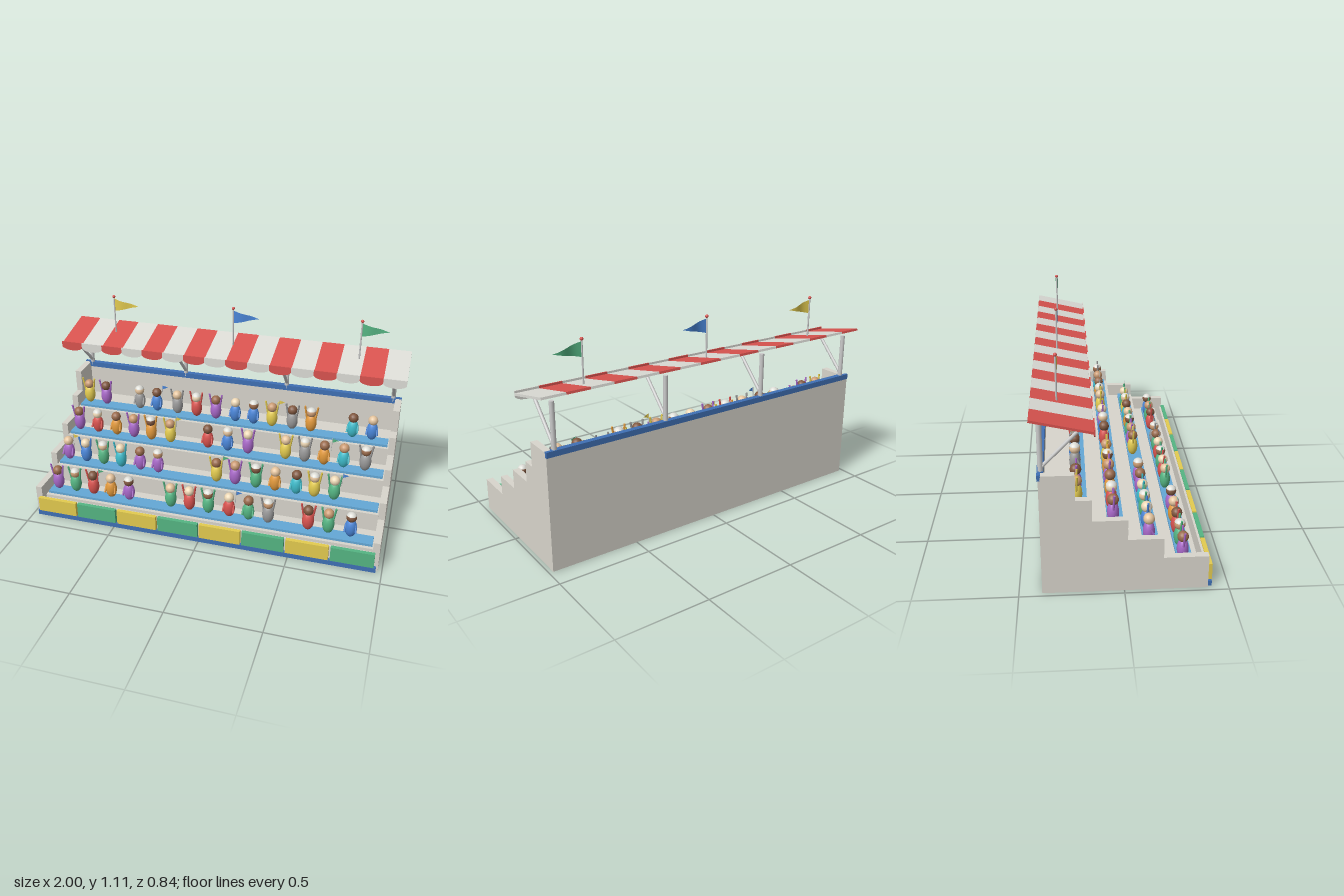
import * as THREE from 'three';

const C = {
  wall: 0xd8d5cc, metal: 0xcccccc, bench: 0x64a8d6, rail: 0x3f70b5, red: 0xd9534f, white: 0xdcdcd6,
  yellow: 0xe3cb4f, green: 0x55b583, blue: 0x4a86d8, purple: 0xa868c8, orange: 0xe39a3c, cyan: 0x3fbccb, grey: 0x9a9a9a,
};
const mats = {};
function mat(color, double = false) {
  const key = color + (double ? 'd' : '');
  return mats[key] ??= new THREE.MeshStandardMaterial({ color, side: double ? THREE.DoubleSide : THREE.FrontSide });
}
function add(parent, name, geo, color, x = 0, y = 0, z = 0, double = false) {
  const m = new THREE.Mesh(geo, mat(color, double));
  m.name = name;
  m.position.set(x, y, z);
  parent.add(m);
  return m;
}
// Box given by its limits on each axis
function box(parent, name, color, x0, x1, y0, y1, z0, z1) {
  return add(parent, name, new THREE.BoxGeometry(x1 - x0, y1 - y0, z1 - z0), color,
    (x0 + x1) / 2, (y0 + y1) / 2, (z0 + z1) / 2);
}
// Round bar between two points
function bar(parent, name, color, a, b, r, sides = 10) {
  const p = new THREE.Vector3(...a), q = new THREE.Vector3(...b);
  const m = add(parent, name, new THREE.CylinderGeometry(r, r, p.distanceTo(q), sides), color);
  m.position.copy(p).lerp(q, 0.5);
  m.quaternion.setFromUnitVectors(new THREE.Vector3(0, 1, 0), q.sub(p).normalize());
  return m;
}
// Extrude a (z, y) outline along x, from x0 to x1
function profile(parent, name, color, pts, x0, x1) {
  const shape = new THREE.Shape(pts.map(p => new THREE.Vector2(...p)));
  const geo = new THREE.ExtrudeGeometry(shape, { depth: x1 - x0, bevelEnabled: false });
  geo.rotateY(-Math.PI / 2);
  return add(parent, name, geo, color, x1, 0, 0);
}
// Gently waving triangular flag, pole at x = 0
function pennant(w, h, wave) {
  const geo = new THREE.PlaneGeometry(w, h, 8, 1).translate(w / 2, 0, 0);
  const p = geo.attributes.position;
  for (let i = 0; i < p.count; i++) {
    const t = p.getX(i) / w;
    p.setY(i, p.getY(i) * (1 - t * 0.99));
    p.setZ(i, Math.sin(t * Math.PI * 2) * wave);
  }
  geo.computeVertexNormals();
  return geo;
}

const BODY = new THREE.SphereGeometry(1, 14, 10).scale(0.033, 0.056, 0.029);
const HEAD = new THREE.SphereGeometry(0.028, 14, 10);
const CAP = new THREE.SphereGeometry(0.0295, 14, 5, 0, Math.PI * 2, 0, Math.PI * 0.36);
const SKINS = [0x9a6b4c, 0xe3c39d, 0xc99a72, 0xecd6b4, 0x80573f];

// One seated fan; the number n varies skin, pose, cap and hand flag
function spectator(color, n) {
  const g = new THREE.Group();
  g.name = 'spectator';
  const skin = SKINS[(n * 7 + (n >> 2)) % 5];
  add(g, 'body', BODY, color, 0, 0.056, 0);
  add(g, 'head', HEAD, skin, 0, 0.122, 0);
  if (n % 3 === 1) add(g, 'cap', CAP, C.white, 0, 0.123, 0, true);
  const raised = n % 5 < 3;
  for (const s of [-1, 1]) {
    if (raised) bar(g, 'raisedArm', color, [s * 0.024, 0.075, 0], [s * 0.038, 0.16, 0.004], 0.0055, 7);
    else bar(g, 'loweredArm', color, [s * 0.026, 0.082, 0.005], [s * 0.03, 0.04, 0.026], 0.0055, 7);
  }
  if (n % 6 === 2) {
    bar(g, 'handFlagStick', C.metal, [0.038, 0.1, 0.01], [0.042, 0.18, 0.01], 0.002, 6);
    add(g, 'handFlag', pennant(0.034, 0.026, 0.002), [C.green, C.yellow, C.blue][n % 9 / 3 | 0], 0.042, 0.167, 0.01, true);
  }
  return g;
}

export function createModel() {
  const root = new THREE.Group();
  root.name = 'grandstand';

  // Stepped seating, stepped side walls and back wall
  const front = [0.355, 0.19, 0.02, -0.15], top = [0.1, 0.205, 0.315, 0.42];
  const steps = [[-0.376, 0]];
  front.forEach((z, i) => steps.push([z, i ? top[i - 1] : 0], [z, top[i]]));
  steps.push([-0.376, 0.42]);
  profile(root, 'tiers', C.wall, steps, -0.942, 0.942);
  const side = [[-0.38, 0], [0.4, 0], [0.4, 0.175], [0.185, 0.175], [0.185, 0.28], [0.015, 0.28], [0.015, 0.385],
    [-0.15, 0.385], [-0.15, 0.495], [-0.225, 0.495], [-0.225, 0.625], [-0.38, 0.625]];
  for (const s of [-1, 1]) profile(root, 'sideWall', C.wall, side, s * 0.96 - 0.018, s * 0.96 + 0.018);
  box(root, 'backWall', C.wall, -0.978, 0.978, 0, 0.62, -0.39, -0.374);
  box(root, 'topRail', C.rail, -0.945, 0.945, 0.6, 0.63, -0.395, -0.366);
  box(root, 'backRail', C.rail, -0.978, 0.978, 0.6, 0.63, -0.395, -0.378);
  box(root, 'frontFloor', C.wall, -0.942, 0.942, 0, 0.01, 0.35, 0.4);
  box(root, 'frontWall', C.wall, -0.942, 0.942, 0, 0.108, 0.388, 0.4);

  // Front plinth and coloured boards
  box(root, 'plinth', C.rail, -0.968, 0.968, 0, 0.028, 0.4, 0.42);
  for (let i = 0; i < 8; i++) {
    const x = -0.957 + i * 0.2405;
    box(root, 'frontBoard', i % 2 ? C.green : C.yellow, x, x + 0.23, 0.03, 0.115, 0.4, 0.422);
  }

  // Benches and their occupants: x position in hundredths, colour initial
  const initials = { y: 'yellow', p: 'purple', g: 'green', r: 'red', o: 'orange', c: 'cyan', b: 'blue', k: 'grey' };
  const rows = [
    '-89p -78g -67r -56o -45p -20g -9r 2g 14r 25g 36k 58r 69g 81b',
    '-89p -78b -67g -56c -44p -33p 2y 13p 25g 36o 48c 58y 69g',
    '-89p -77r -65o -54p -43o -31y -8r 4b 16p 38y 49k 60o 71c 83k',
    '-89y -78p -56k -45b -32k -20r -8p 4b 15b 26y 38k 49o 73c 84b',
  ];
  let n = 0;
  rows.forEach((row, i) => {
    const z = front[i] - 0.0575;
    box(root, 'bench', C.bench, -0.935, 0.935, top[i], top[i] + 0.014, z - 0.038, z + 0.038);
    for (const entry of row.split(' ')) {
      const fan = spectator(C[initials[entry.at(-1)]], n++);
      fan.position.set(parseInt(entry) / 100, top[i] + 0.01, z - 0.012);
      root.add(fan);
    }
  });

  // Canopy posts and struts
  for (const x of [-0.93, -0.315, 0.31, 0.93]) {
    bar(root, 'canopyPost', C.metal, [x, 0.61, -0.378], [x, 0.868, -0.378], 0.0125, 12);
    bar(root, 'canopyStrut', C.metal, [x, 0.65, -0.372], [x, 0.842, -0.185], 0.009, 10);
  }

  // Striped canopy with a scalloped valance
  const stripe = 0.125;
  const scallop = new THREE.Shape();
  scallop.moveTo(-stripe / 2, 0.015);
  scallop.lineTo(-stripe / 2, -0.012);
  scallop.absellipse(0, -0.012, stripe / 2, 0.024, Math.PI, Math.PI * 2, false, 0);
  scallop.lineTo(stripe / 2, 0.015);
  const valance = new THREE.ExtrudeGeometry(scallop, { depth: 0.006, bevelEnabled: false, curveSegments: 12 });
  const slab = new THREE.BoxGeometry(stripe, 0.012, 0.293);
  for (let i = 0; i < 16; i++) {
    const x = -1 + stripe * (i + 0.5), color = i % 2 ? C.white : C.red;
    add(root, 'canopyStripe', slab, color, x, 0.871, -0.2775).rotation.x = 0.222;
    add(root, 'valanceScallop', valance, color, x, 0.842, -0.138);
  }

  // Flagpoles on the canopy
  [C.yellow, C.blue, C.green].forEach((color, i) => {
    const x = (i - 1) * 0.723;
    bar(root, 'flagpole', C.metal, [x, 0.875, -0.3], [x, 1.1, -0.3], 0.0045, 8);
    add(root, 'poleBall', new THREE.SphereGeometry(0.009, 12, 8), C.red, x, 1.103, -0.3);
    add(root, 'flag', pennant(0.147, 0.075, 0.007), color, x + 0.003, 1.053, -0.3, true);
  });
  return root;
}
